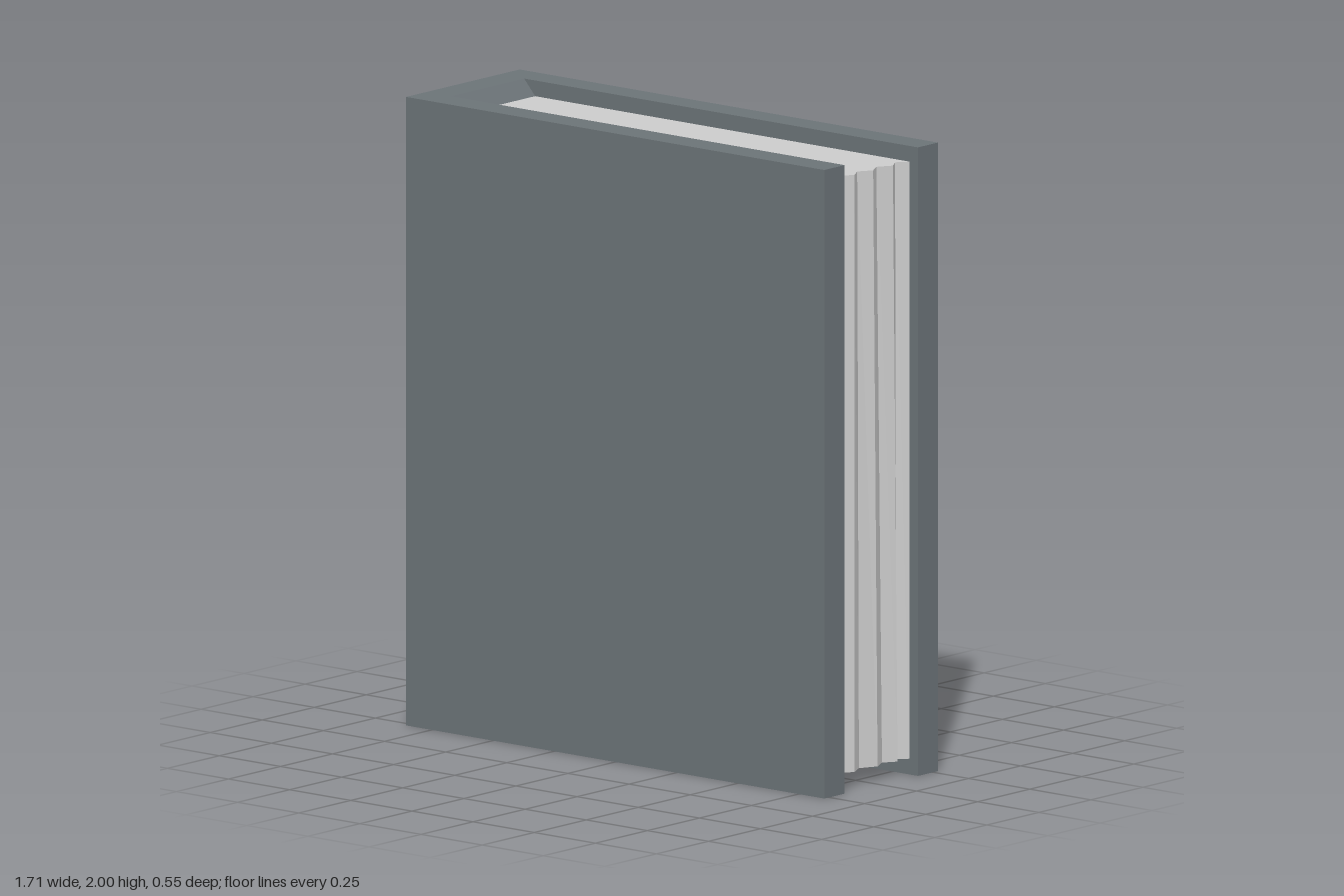
import * as THREE from 'three';

const HEIGHT = 2, RECESS = 0.05;
const FRONT = 0.175, BACK = -0.177; // inner faces of the two boards

// Extrudes a flat outline of [x, z] corners upward along y.
function extrudeUp(corners, height) {
  const shape = new THREE.Shape(corners.map(([x, z]) => new THREE.Vector2(x, -z)));
  return new THREE.ExtrudeGeometry(shape, { depth: height, bevelEnabled: false }).rotateX(-Math.PI / 2);
}

export function createModel() {
  const book = new THREE.Group();
  book.name = 'book';
  const coverMaterial = new THREE.MeshStandardMaterial({ color: 0x6b7377, flatShading: true });
  const pageMaterial = new THREE.MeshStandardMaterial({ color: 0xcccccc, flatShading: true });

  function add(name, geometry, material) {
    const mesh = new THREE.Mesh(geometry, material);
    mesh.name = name;
    book.add(mesh);
    return mesh;
  }

  // Cover: two boards joined by the spine, open at the fore edge
  add('cover', extrudeUp([
    [-0.855, 0.273], [0.855, 0.273], [0.855, FRONT], [-0.755, FRONT],
    [-0.755, BACK], [0.855, BACK], [0.855, -0.273], [-0.855, -0.273],
  ], HEIGHT), coverMaterial);

  // Spine lining: slopes in from the spine to the page block at both ends
  const profile = new THREE.Shape([
    new THREE.Vector2(-0.755, 0), new THREE.Vector2(-0.71, RECESS),
    new THREE.Vector2(-0.71, HEIGHT - RECESS), new THREE.Vector2(-0.755, HEIGHT),
  ]);
  const lining = new THREE.ExtrudeGeometry(profile, { depth: FRONT - BACK, bevelEnabled: false });
  add('spineLining', lining.translate(0, 0, BACK), coverMaterial);

  // Pages: a block whose fore edge is a zigzag that drifts from top to bottom
  const topZ = [FRONT, 0.13, 0.087, 0.042, -0.003, -0.05, -0.098, -0.14, BACK];
  const bottomZ = [FRONT, 0.13, 0.087, 0.034, -0.024, -0.077, -0.12, -0.146, BACK];
  const foreEdge = topZ.map((z, i) => [i % 2 ? 0.793 : 0.82, z]);
  const pages = extrudeUp([[-0.71, BACK], [-0.71, FRONT], ...foreEdge], HEIGHT - 2 * RECESS);
  const p = pages.attributes.position;
  for (let i = 0; i < p.count; i++) {
    if (p.getX(i) < 0 || p.getY(i) > 1) continue;
    const k = topZ.findIndex((z) => Math.abs(z - p.getZ(i)) < 1e-4);
    p.setZ(i, bottomZ[k]);
  }
  pages.computeVertexNormals();
  add('pages', pages, pageMaterial).position.y = RECESS;

  return book;
}
